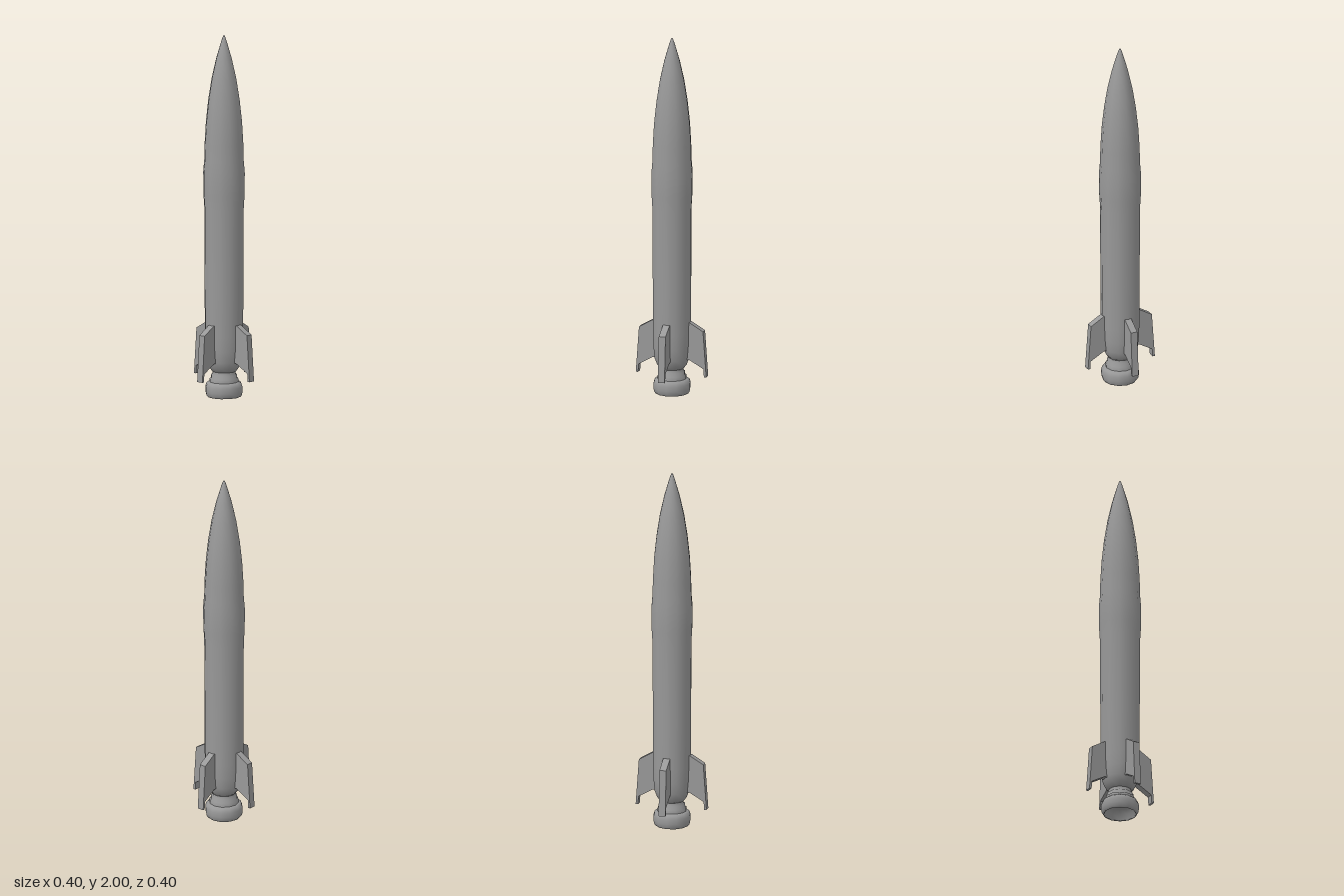
import * as THREE from 'three';

const SIDES = 12;

export function createModel() {
  const rocket = new THREE.Group();
  rocket.name = 'rocket';
  const material = new THREE.MeshStandardMaterial({ color: 0x999999 });

  const add = (name, geometry) => {
    const mesh = new THREE.Mesh(geometry, material);
    mesh.name = name;
    rocket.add(mesh);
    return mesh;
  };
  // Profile points are [radius, height], running upwards on the outside
  const lathe = (name, points) =>
    add(name, new THREE.LatheGeometry(points.map(([r, y]) => new THREE.Vector2(r, y)), SIDES));

  // Pointed hull with a slightly swollen waist and a tapered tail
  lathe('hull', [
    [0, 0.14], [0.066, 0.14], [0.084, 0.165], [0.097, 0.2], [0.103, 0.26], [0.106, 0.34],
    [0.107, 0.6], [0.109, 1.04], [0.114, 1.12], [0.115, 1.24], [0.109, 1.31],
    [0.107, 1.4], [0.1, 1.52], [0.087, 1.64], [0.068, 1.76], [0.043, 1.87],
    [0.015, 1.965], [0.007, 1.988], [0, 2],
  ]);

  // Stepped collar joining hull and nozzle
  lathe('nozzleCollar', [
    [0.08, 0.07], [0.08, 0.098], [0.072, 0.102], [0.072, 0.12], [0.064, 0.125], [0.064, 0.145],
  ]);

  // Rounded nozzle with a hollow underside
  lathe('nozzle', [
    [0, 0.06], [0.06, 0.055], [0.08, 0.035], [0.086, 0.004], [0.091, 0], [0.099, 0.01],
    [0.103, 0.03], [0.103, 0.055], [0.097, 0.073], [0.085, 0.082], [0.06, 0.085],
  ]);

  // Four swept fins with a narrow foot at the outer tip
  const outline = new THREE.Shape([
    [0.08, 0.195], [0.105, 0.195], [0.184, 0.15], [0.187, 0.105], [0.2, 0.105],
    [0.182, 0.36], [0.106, 0.405], [0.08, 0.405],
  ].map(([x, y]) => new THREE.Vector2(x, y)));
  const thickness = 0.038;
  const finGeometry = new THREE.ExtrudeGeometry(outline, { depth: thickness, bevelEnabled: false });
  finGeometry.translate(0, 0, -thickness / 2);
  ['leftFin', 'backFin', 'rightFin', 'frontFin'].forEach((name, i) => {
    add(name, finGeometry).rotation.y = i * Math.PI / 2;
  });

  return rocket;
}
